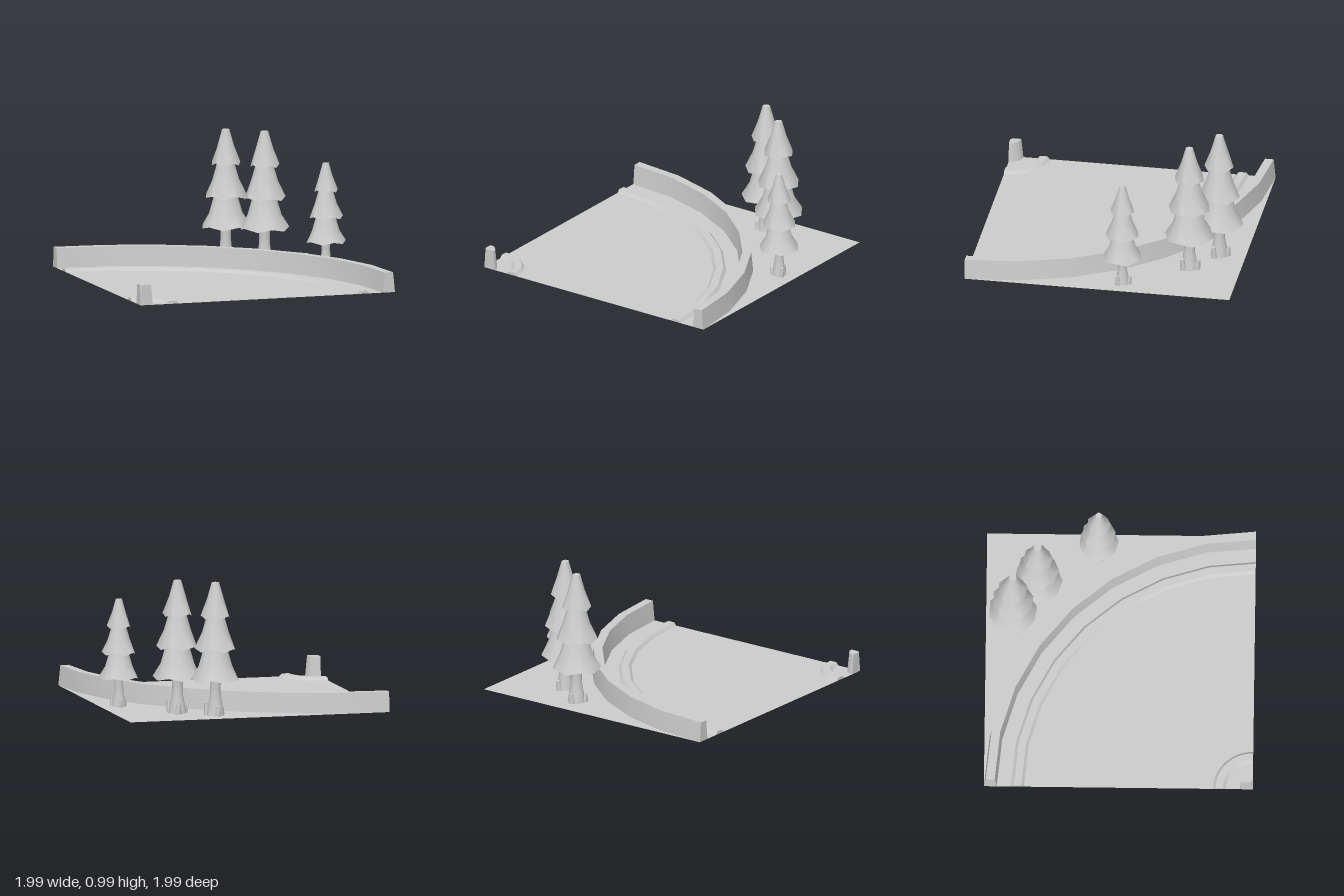
import * as THREE from 'three';
import { toCreasedNormals } from 'three/addons/utils/BufferGeometryUtils.js';

const R = 1.985; // side of the tile, centre of all arcs is its front left corner
const ARC_STEPS = 8;
const WALL = [[0.095, 0], [0.08, 0.15], [0.015, 0.15], [0, 0]];
const CURB = [[0.095, 0], [0.075, 0.022], [0.02, 0.022], [0, 0]];
const grey = new THREE.MeshStandardMaterial({ color: 0xcccccc, side: THREE.DoubleSide });
const v2 = (x, y) => new THREE.Vector2(x, y);

function mesh(geometry, name) {
  const m = new THREE.Mesh(geometry, grey);
  m.name = name;
  return m;
}

// Quarter-circle strip with a hollow profile and closed ends
function sweptStrip(profile, innerRadius, name) {
  const group = new THREE.Group();
  group.name = name;
  const pts = profile.map(([r, y]) => v2(innerRadius + r, y));
  const lathe = new THREE.LatheGeometry(pts, ARC_STEPS, Math.PI / 2, Math.PI / 2);
  group.add(mesh(toCreasedNormals(lathe, 0.5), name + 'Body'));
  for (const [end, turn] of [['front', 0], ['left', Math.PI / 2]]) {
    const cap = mesh(new THREE.ShapeGeometry(new THREE.Shape(pts)), end + 'EndCap');
    cap.rotation.y = turn;
    group.add(cap);
  }
  return group;
}

function arcPoints(radius) {
  if (radius === 0) return [v2(0, 0)];
  return Array.from({ length: ARC_STEPS + 1 }, (_, i) => {
    const a = (i / ARC_STEPS) * Math.PI / 2;
    return v2(radius * Math.cos(a), radius * Math.sin(a));
  });
}

// Flat ground between two outlines
function groundPiece(inner, outer, name) {
  const shape = new THREE.Shape([...outer, ...inner.slice().reverse()]);
  return mesh(new THREE.ShapeGeometry(shape).rotateX(-Math.PI / 2), name);
}

// Three scalloped skirts in one lathe; the rims are ruffled afterwards
function foliageGeometry() {
  const sides = 10;
  const profile = [
    [0.03, 0.3], [0.18, 0.265], [0.125, 0.37], [0.085, 0.51],
    [0.153, 0.492], [0.1, 0.62], [0.062, 0.752],
    [0.108, 0.735], [0.062, 0.87], [0.028, 0.99], [0, 0.99],
  ];
  const rims = [1, 4, 7];
  const geo = new THREE.LatheGeometry(profile.map(([r, y]) => v2(r, y)), sides);
  const pos = geo.attributes.position;
  for (let i = 0; i <= sides; i++) {
    for (const j of rims) {
      const k = i * profile.length + j;
      const s = i % 2 ? -1 : 1;
      pos.setXYZ(k, pos.getX(k) * (1 + 0.02 * s), pos.getY(k) + 0.011 * s, pos.getZ(k) * (1 + 0.02 * s));
    }
  }
  return toCreasedNormals(geo, 0.85);
}

function makeTree(x, z, scale, turn) {
  const tree = new THREE.Group();
  tree.name = 'tree';
  tree.add(mesh(foliageGeometry(), 'foliage'));
  const trunk = [[0.066, 0], [0.056, 0.06], [0.043, 0.13], [0.039, 0.2], [0.044, 0.31]];
  tree.add(mesh(new THREE.LatheGeometry(trunk.map(([r, y]) => v2(r, y)), 10), 'trunk'));
  // Stubby roots around the foot of the trunk
  for (let i = 0; i < 3; i++) {
    const h = 0.09 - 0.015 * i;
    const arm = new THREE.Group();
    arm.name = 'root';
    const stub = mesh(toCreasedNormals(new THREE.CylinderGeometry(0.014, 0.027, h, 6), 1.1), 'rootStub');
    stub.position.set(0.065, h / 2, 0);
    stub.rotation.z = -0.15;
    arm.add(stub);
    arm.rotation.y = -0.7 + (i * Math.PI * 2) / 3;
    tree.add(arm);
  }
  tree.position.set(x, 0, z);
  tree.rotation.y = turn;
  tree.scale.setScalar(scale);
  return tree;
}

export function createModel() {
  const model = new THREE.Group();
  model.name = 'roadCornerTile';

  // Ground and curved borders, laid out from the shared arc centre
  const tile = new THREE.Group();
  tile.name = 'tile';
  tile.position.set(-1, 0, R / 2);
  tile.add(
    groundPiece(arcPoints(0.095), arcPoints(0.2), 'innerVerge'),
    groundPiece(arcPoints(0.295), arcPoints(1.69), 'road'),
    groundPiece(arcPoints(1.785), arcPoints(1.89), 'outerVerge'),
    groundPiece(arcPoints(R), [v2(R, 0), v2(R, R), v2(0, R)], 'cornerGround'),
    sweptStrip(WALL, 0, 'innerWall'),
    sweptStrip(CURB, 0.2, 'innerCurb'),
    sweptStrip(CURB, 1.69, 'outerCurb'),
    sweptStrip(WALL, 1.89, 'outerWall'),
  );
  model.add(tile);

  // Trees behind the outer wall
  model.add(
    makeTree(0.28, -0.795, 1, 0.2),
    makeTree(0.52, -0.613, 1, 0),
    makeTree(0.845, -0.168, 0.81, 0.1),
  );
  return model;
}
